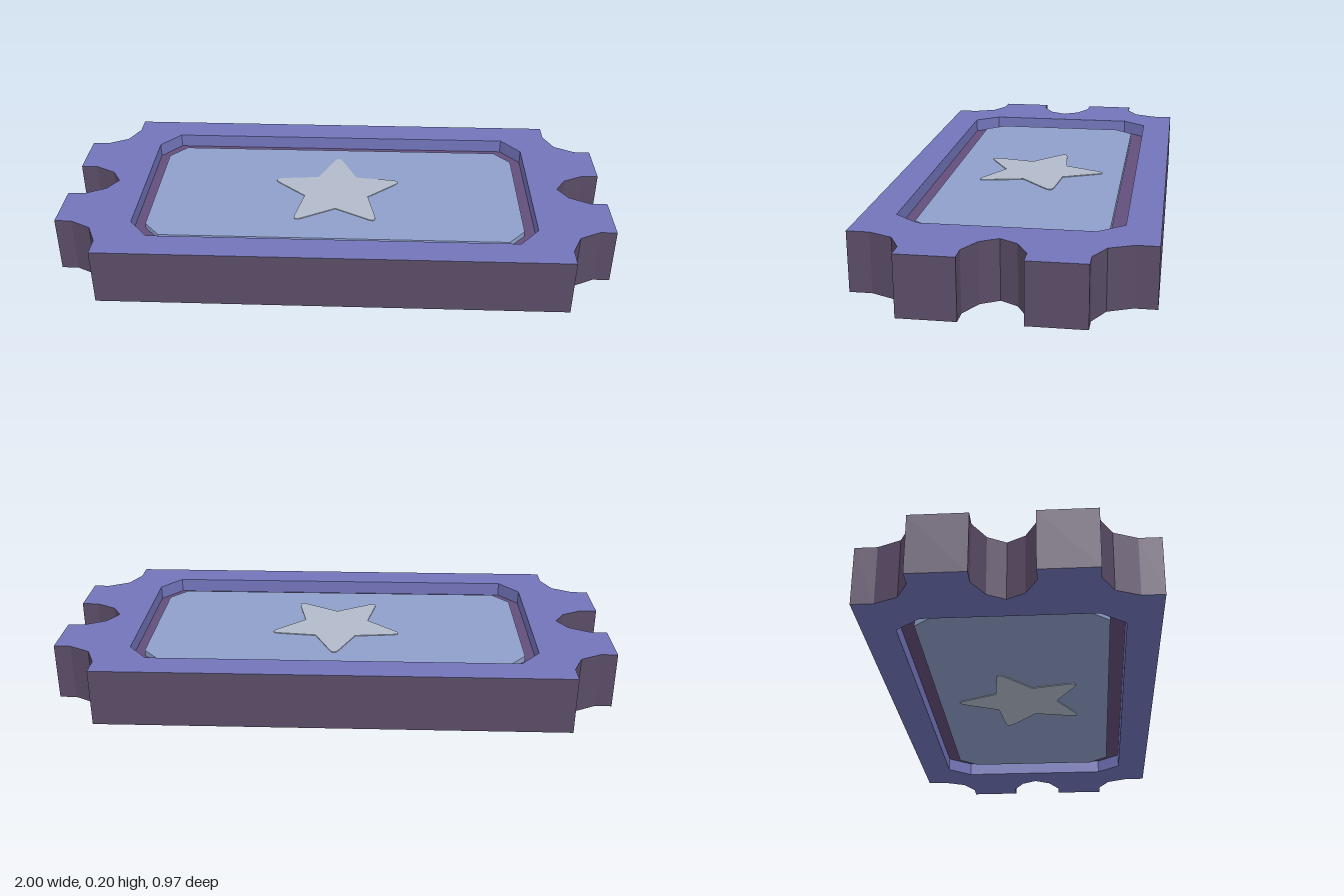
import * as THREE from 'three';

const HEIGHT = 0.205;

// Shapes are drawn in plan (x, -z) and laid flat with their base at y
function slab(shape, y, height) {
  const geometry = new THREE.ExtrudeGeometry(shape, { depth: height, bevelEnabled: false, curveSegments: 6 });
  return geometry.rotateX(-Math.PI / 2).translate(0, y, 0);
}

// Mirrors one quarter outline (from the x axis towards the z axis) into a full loop
function mirrored(quarter) {
  const half = [...quarter, ...quarter.map(([x, y]) => [-x, y]).reverse()];
  const lower = half.map(([x, y]) => [x, -y]).reverse();
  return [...half, ...lower]
    .map(([x, y]) => new THREE.Vector2(x, y))
    .filter((p, i, all) => p.distanceTo(all[(i + 1) % all.length]) > 1e-6);
}

function octagon(x, y, cutX, cutY) {
  return mirrored([[x, y - cutY], [x - cutX, y]]);
}

// Five-pointed star with softened tips
function starShape(outer, inner) {
  const at = (r, k) => new THREE.Vector2(0, r).rotateAround(new THREE.Vector2(), (k * Math.PI) / 5);
  const shape = new THREE.Shape();
  for (let i = 0; i < 5; i++) {
    const tip = at(outer, 2 * i);
    const before = at(inner, 2 * i - 1);
    const after = at(inner, 2 * i + 1);
    const a = before.clone().lerp(tip, 0.76);
    const b = after.clone().lerp(tip, 0.76);
    if (i === 0) shape.moveTo(before.x, before.y);
    shape.lineTo(a.x, a.y);
    shape.quadraticCurveTo(tip.x, tip.y, b.x, b.y);
    if (i < 4) shape.lineTo(after.x, after.y);
  }
  return shape;
}

export function createModel() {
  const model = new THREE.Group();
  model.name = 'ticket';

  const material = (name, color) => {
    const m = new THREE.MeshStandardMaterial({ color });
    m.name = name;
    return m;
  };
  const blue = material('periwinkle blue', 0x7274ba);
  const plum = material('dark plum', 0x5a4c66);
  const violet = material('muted violet', 0x634f7c);
  const paleBlue = material('pale blue', 0x8f9fcb);
  const silver = material('silver grey', 0xb2bac9);

  const add = (name, geometry, mat) => {
    const mesh = new THREE.Mesh(geometry, mat);
    mesh.name = name;
    model.add(mesh);
  };

  // Frame with scalloped corners, notched ends and a window
  const outline = mirrored([
    [0.83, 0], [0.865, 0.06], [0.94, 0.1], [1, 0.1], [1, 0.29],
    [0.94, 0.29], [0.865, 0.33], [0.83, 0.41], [0.83, 0.485],
  ]);
  const frameShape = new THREE.Shape(outline);
  const recess = octagon(0.725, 0.372, 0.07, 0.087);
  frameShape.holes.push(new THREE.Path(recess));
  const frame = slab(frameShape, 0, HEIGHT);

  // Outer rim is plum; faces and window walls are blue
  const [caps, sides] = frame.groups.map((g) => ({ ...g }));
  const rimCount = outline.length * 6;
  frame.clearGroups();
  frame.addGroup(caps.start, caps.count, 0);
  frame.addGroup(sides.start, rimCount, 1);
  frame.addGroup(sides.start + rimCount, sides.count - rimCount, 0);
  add('frame', frame, [blue, plum]);

  // Layers inside the window, reaching both faces symmetrically
  const layer = (name, shape, inset, mat) =>
    add(name, slab(shape, inset, HEIGHT - 2 * inset), mat);
  layer('recessFloor', new THREE.Shape(recess), 0.05, violet);
  layer('panel', new THREE.Shape(octagon(0.683, 0.32, 0.06, 0.07)), 0.03, paleBlue);
  layer('star', starShape(0.265, 0.125), 0.027, silver);

  return model;
}
